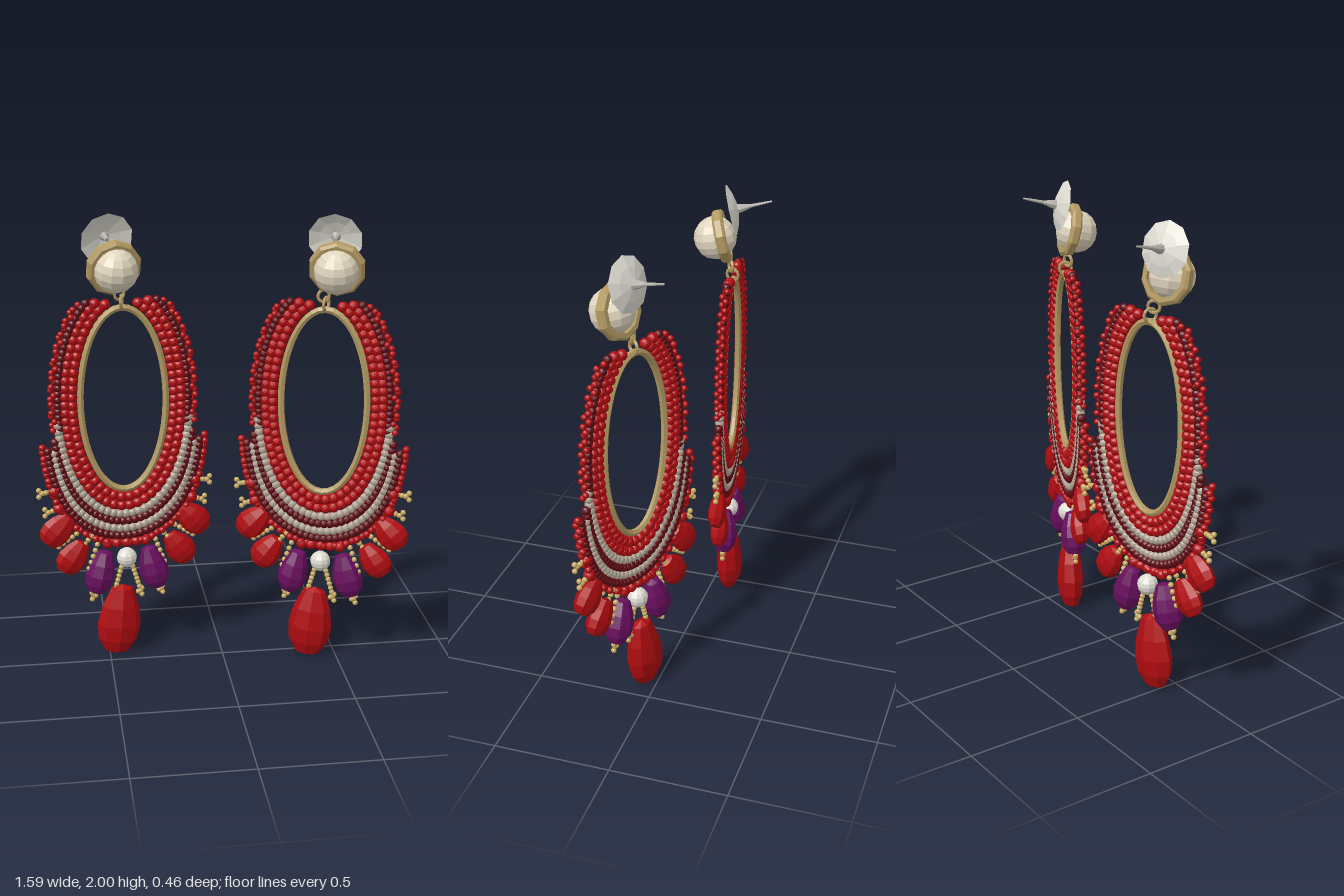
import * as THREE from 'three';
import { mergeGeometries } from 'three/addons/utils/BufferGeometryUtils.js';

const mat = (color) => new THREE.MeshStandardMaterial({ color, flatShading: true, side: THREE.DoubleSide });
const RED = mat(0xb00c10), DARK = mat(0x5e0a12), PURPLE = mat(0x6a0f5f), GOLD = mat(0xc9ab62),
  BRASS = mat(0xb39a62), STONE = mat(0xb0a494), PEARL = mat(0xe0d5be), WHITE = mat(0xdedcd2);

const V = (x, y, z = 0) => new THREE.Vector3(x, y, z);
const rad = THREE.MathUtils.degToRad;
const lathe = (pts, n) => new THREE.LatheGeometry(pts.map(([x, y]) => new THREE.Vector2(x, y)), n);

function add(parent, name, geo, material) {
  const mesh = new THREE.Mesh(geo, material);
  mesh.name = name;
  parent.add(mesh);
  return mesh;
}

// many small faceted beads in one mesh
function beads(parent, name, points, r, material) {
  const geos = points.map((p) => new THREE.IcosahedronGeometry(r, 1).translate(p.x, p.y, p.z));
  return add(parent, name, mergeGeometries(geos), material);
}

// point at a distance outside the oval hoop
const A = 0.185, B = 0.405, CY = 1.185;
function around(deg, off) {
  const c = Math.cos(rad(deg)), s = Math.sin(rad(deg));
  const n = V(c / A, s / B).normalize();
  return V(A * c + n.x * off, CY + B * s + n.y * off);
}

// evenly spaced points between two angles; rows fan out towards the bottom
function row(from, to, side, bottom, step) {
  const pts = [];
  for (let i = 0; i <= 40; i++) {
    const deg = from + ((to - from) * i) / 40;
    const w = Math.max(0, -Math.sin(rad(deg))) ** 2;
    pts.push(around(deg, side + (bottom - side) * w));
  }
  const curve = new THREE.CatmullRomCurve3(pts);
  return curve.getSpacedPoints(Math.round(curve.getLength() / step));
}
const bothSides = (pts) => pts.concat(pts.map((p) => V(-p.x, p.y, p.z)));

// faceted drop; the wide end points down, then swings by the angle
function drop(parent, name, x, y, w, len, d, deg, material) {
  const g = lathe([[0, 0], [0.55, 0.03], [0.9, 0.2], [1, 0.42], [0.85, 0.68], [0.5, 0.95], [0, 1]], 8);
  g.translate(0, -0.5, 0).scale(w, len, d).rotateZ(rad(deg)).translate(x, y, 0);
  add(parent, name, g, material);
}

function strand(x0, y0, x1, y1, n) {
  return Array.from({ length: n }, (_, i) => V(x0, y0).lerp(V(x1, y1), i / (n - 1)));
}

function pendant() {
  const g = new THREE.Group();
  g.name = 'pendant';

  // oval hoop
  const oval = new THREE.CatmullRomCurve3(Array.from({ length: 32 }, (_, i) => around(i * 11.25, 0)), true);
  add(g, 'hoop', new THREE.TubeGeometry(oval, 64, 0.015, 6, true), BRASS);

  // links to the stud
  add(g, 'lowerLink', new THREE.TorusGeometry(0.027, 0.007, 6, 12).rotateY(1.3).translate(0, 1.615, 0), BRASS);
  add(g, 'upperLink', new THREE.TorusGeometry(0.025, 0.007, 6, 12).rotateY(0.5).translate(-0.01, 1.65, 0.01), BRASS);

  // rows running the whole way round
  beads(g, 'innerRedRow', row(74, -254, 0.036, 0.036, 0.036), 0.024, RED);
  beads(g, 'secondRedRow', row(68, -248, 0.068, 0.076, 0.036), 0.024, RED);

  // upper side rows
  beads(g, 'upperDarkRow', bothSides(row(64, -14, 0.097, 0.115, 0.026)), 0.019, DARK);
  const edge = row(60, -14, 0.118, 0.14, 0.019);
  edge.forEach((p, i) => { p.x += i % 3 ? 0.01 : -0.002; p.z = (i % 2 ? 1 : -1) * 0.008; });
  beads(g, 'upperEdgeBeads', bothSides(edge), 0.014, RED);

  // lower crescent rows
  beads(g, 'upperStoneRow', row(-12, -168, 0.105, 0.115, 0.028), 0.02, STONE);
  beads(g, 'innerDarkRow', row(-21, -159, 0.127, 0.149, 0.026), 0.02, DARK);
  beads(g, 'lowerStoneRow', row(-27, -153, 0.134, 0.183, 0.028), 0.02, STONE);
  beads(g, 'outerDarkRow', row(-25, -155, 0.158, 0.218, 0.026), 0.02, DARK);
  const fringe = row(-22, -158, 0.178, 0.252, 0.026);
  fringe.forEach((p, i) => { p.z = (i % 2 ? 1 : -1) * 0.006; });
  beads(g, 'outerRedRow', fringe, 0.016, RED);
  beads(g, 'centreRedBeads', strand(-0.085, 0.53, 0.085, 0.53, 5), 0.024, RED);

  // gold bead strands with forked tips
  const tip = (x, y) => [V(x, y + 0.015), V(x, y - 0.015), V(x - 0.016, y)];
  const gold = [
    ...strand(0.26, 0.805, 0.365, 0.79, 7), ...tip(0.378, 0.79),
    ...strand(0.25, 0.73, 0.34, 0.7, 6), ...tip(0.355, 0.70),
    ...strand(0.20, 0.68, 0.26, 0.64, 4), ...strand(0.22, 0.59, 0.30, 0.535, 5),
    ...strand(0.14, 0.59, 0.20, 0.52, 5), ...strand(0.13, 0.53, 0.17, 0.42, 5),
    ...strand(0.02, 0.43, 0.06, 0.29, 8), ...tip(0.065, 0.285),
    ...strand(0.13, 0.33, 0.155, 0.29, 3), ...tip(0.16, 0.285),
  ];
  beads(g, 'goldStrands', bothSides(gold), 0.012, GOLD);
  beads(g, 'smallRedBeads', bothSides([V(0.31, 0.795), V(0.295, 0.715)]), 0.026, RED);

  // hanging drops
  for (const s of [-1, 1]) {
    drop(g, 'upperRedDrop', s * 0.3, 0.615, 0.068, 0.165, 0.042, s * 42, RED);
    drop(g, 'lowerRedDrop', s * 0.237, 0.482, 0.066, 0.165, 0.042, s * 35, RED);
    drop(g, 'purpleDrop', s * 0.118, 0.4, 0.066, 0.205, 0.06, s * 14, PURPLE);
  }
  add(g, 'centreBall', new THREE.SphereGeometry(0.045, 10, 8).translate(0, 0.455, 0), WHITE);
  drop(g, 'bigRedDrop', -0.038, 0.164, 0.098, 0.33, 0.062, -6, RED);
  return g;
}

function stud() {
  const g = new THREE.Group();
  g.name = 'stud';
  add(g, 'pearl', new THREE.SphereGeometry(0.093, 12, 9), PEARL);

  // stepped ten-sided bezel
  const bezel = lathe([[0.088, -0.022], [0.108, -0.022], [0.119, -0.012], [0.119, 0.014], [0.108, 0.024],
    [0.088, 0.024], [0.088, -0.022]], 10).rotateX(-Math.PI / 2).translate(0, 0, -0.03);
  add(g, 'bezel', bezel, BRASS);

  // backing disc with its post, cupped towards the front
  const back = new THREE.Group();
  back.name = 'backing';
  back.position.set(-0.015, 0.1, -0.115);
  add(back, 'disc', lathe([[0.114, -0.022], [0.07, -0.004], [0.02, 0.008]], 10).rotateX(-Math.PI / 2), WHITE);
  add(back, 'post', lathe([[0, -0.03], [0.01, -0.03], [0.012, 0], [0.021, 0.008], [0.017, 0.03], [0.008, 0.065],
    [0.004, 0.155], [0, 0.157]], 8).rotateX(-Math.PI / 2), mat(0xb4b2a8));
  g.add(back);
  return g;
}

export function createModel() {
  const model = new THREE.Group();
  model.name = 'earrings';
  const pair = [
    { name: 'rightEarring', at: [-0.415, 0, -0.087], yaw: 0.11, studAt: [-0.44, 1.765, 0], studYaw: 0.26 },
    { name: 'leftEarring', at: [0.425, 0, 0.07], yaw: -0.367, studAt: [0.448, 1.765, 0.145], studYaw: -0.33 },
  ];
  for (const e of pair) {
    const earring = new THREE.Group();
    earring.name = e.name;
    const hang = pendant();
    hang.position.set(...e.at);
    hang.rotation.y = e.yaw;
    const top = stud();
    top.position.set(...e.studAt);
    top.rotation.set(0.24, e.studYaw, 0, 'YXZ');
    earring.add(hang, top);
    model.add(earring);
  }
  return model;
}
